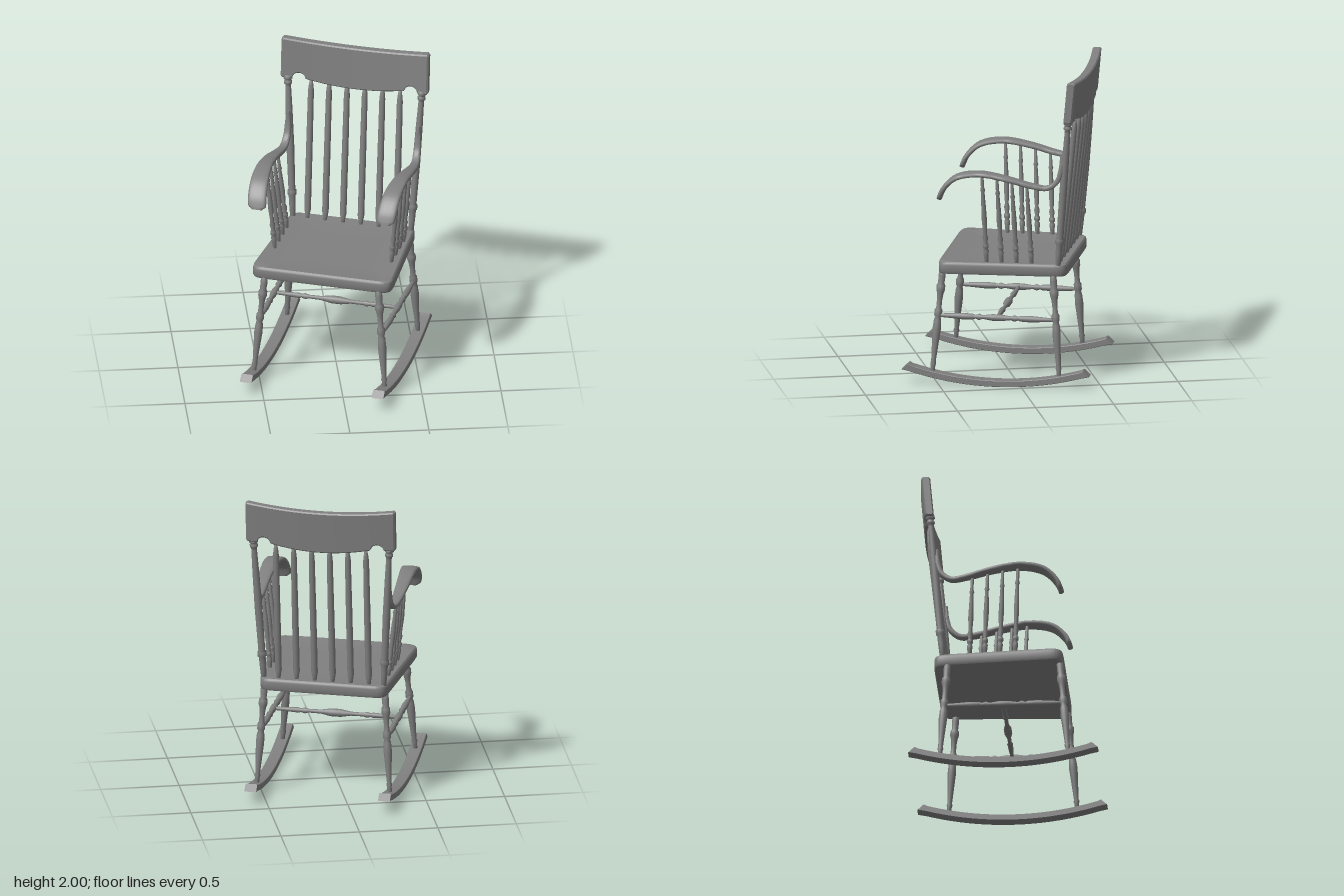
import * as THREE from 'three';
import { toCreasedNormals } from 'three/addons/utils/BufferGeometryUtils.js';

const V = (x, y, z) => new THREE.Vector3(x, y, z);
const wood = new THREE.MeshStandardMaterial({ color: 0x808080 });

function add(parent, name, geometry) {
  const mesh = new THREE.Mesh(geometry, wood);
  mesh.name = name;
  parent.add(mesh);
  return mesh;
}

// Skin over equal-sized rings, counter-clockwise about the direction of travel, with capped ends
function loft(rings, crease = 0.6) {
  const n = rings[0].length, last = (rings.length - 1) * n;
  const centre = ring => ring.reduce((s, p) => s.add(p), V(0, 0, 0)).divideScalar(n);
  const points = [...rings.flat(), centre(rings[0]), centre(rings[rings.length - 1])];
  const index = [];
  for (let i = 0; i < n; i++) {
    const j = (i + 1) % n;
    for (let a = 0; a < last; a += n) index.push(a + i, a + j, a + n + j, a + i, a + n + j, a + n + i);
    index.push(last + n, j, i, last + n + 1, last + i, last + j);
  }
  const g = new THREE.BufferGeometry().setFromPoints(points);
  g.setIndex(index);
  return toCreasedNormals(g, crease);
}

// Bevelled rectangle with half sizes a along u and b along v
function section(c, u, v, a, b, k) {
  return [[a, b - k], [a - k, b], [k - a, b], [-a, b - k], [-a, k - b], [k - a, -b], [a - k, -b], [a, k - b]]
    .map(([p, q]) => c.clone().addScaledVector(u, p).addScaledVector(v, q));
}

// Turned rod from a to b; profile rows are [fraction of length, radius]
function turned(parent, name, a, b, profile, sides = 16) {
  const dir = b.clone().sub(a), len = dir.length();
  const pts = [[0, 0], ...profile, [1, 0]].map(([t, r]) => new THREE.Vector2(r, t * len));
  const mesh = add(parent, name, new THREE.LatheGeometry(pts, sides));
  mesh.position.copy(a);
  mesh.quaternion.setFromUnitVectors(V(0, 1, 0), dir.normalize());
}

const LEG = [[0, .014], [.08, .015], [.1, .019], [.12, .015], [.3, .022], [.42, .027], [.5, .024], [.53, .018],
  [.55, .025], [.6, .025], [.62, .017], [.7, .017], [.76, .022], [.79, .028], [.83, .028], [.85, .02], [.92, .023], [1, .019]];
const POST = [[0, .017], [.1, .021], [.155, .022], [.16, .029], [.19, .029], [.195, .022], [.5, .025], [.75, .022],
  [.92, .018], [.935, .018], [.94, .026], [.955, .026], [.96, .021], [.97, .021], [.975, .029], [1, .029]];
const BACK_SPINDLE = [[0, .011], [.03, .014], [.07, .021], [.5, .021], [.92, .019], [.96, .015], [1, .009]];
const ARM_SPINDLE = [[0, .011], [.1, .016], [.14, .018], [.16, .012], [.18, .019], [.21, .019], [.23, .012], [.29, .018],
  [.33, .012], [.5, .017], [.68, .014], [.8, .011], [.82, .016], [.85, .011], [1, .01]];
const CROSS = [[0, .011], [.1, .013], [.2, .017], [.22, .012], [.25, .019], [.28, .012], [.38, .013], [.46, .025],
  [.54, .025], [.62, .013], [.72, .012], [.75, .019], [.78, .012], [.8, .017], [.9, .013], [1, .011]];
const SIDE_STRETCHER = [[0, .011], [.08, .014], [.22, .021], [.3, .018], [.32, .012], [.35, .021], [.38, .012], [.46, .021],
  [.54, .021], [.62, .012], [.65, .021], [.68, .012], [.7, .018], [.78, .021], [.92, .014], [1, .011]];

// Rounded trapezoid slab, wider in front, with a shallow dished top
function seatGeometry() {
  const rows = [[.985, .718], [1, .73], [1, .775], [.992, .788], [.97, .795], [.85, .79], [.6, .784], [.3, .784], [.05, .784]];
  const pow = c => Math.sign(c) * Math.abs(c) ** 0.13;
  return loft(rows.map(([s, y]) => Array.from({ length: 80 }, (_, i) => {
    const a = (i + .5) / 80 * Math.PI * 2, q = pow(Math.cos(a));
    return V(pow(Math.sin(a)) * (.434 + .027 * q) * s, y, -.034 + .41 * q * s);
  })), 0.7);
}

// Crest rail: bowed backward, dipped on top, notched beside each post
function crestGeometry() {
  const rings = [];
  const N = 96, u = V(0, 1, -.09), v = V(0, 0, 1);
  for (let i = 0; i <= N; i++) {
    const x = -.48 + .96 * i / N, a = Math.abs(x);
    const end = a > .475 ? .008 : 0;
    let low = 1.695 + .035 * (a / .32) ** 2;
    if (a > .32) low = 1.73 + (a < .41 ? .038 * Math.sqrt(Math.sin(Math.PI * (a - .32) / .09)) : 0);
    const high = 1.97 + .03 * (a / .48) ** 2;
    const y = (low + high) / 2;
    const z = -.463 - .09 * (y - 1.73) - .028 * (1 - (x / .48) ** 2);
    rings.push(section(V(x, y, z), u, v, (high - low) / 2 - end, .028 - end, .008));
  }
  return loft(rings, 0.5);
}

// Runner: circular arc resting on the ground, with undercut tips
function runnerGeometry(x) {
  const R = 1.98, t = .02, rings = [];
  for (let i = 0; i <= 32; i++) {
    const a = .3 * (i / 16 - 1), slant = i % 32 ? 1 : 3.5;
    rings.push(section(V(x, t + (R - t) * (1 - Math.cos(a)), (R - t) * Math.sin(a)),
      V(1, 0, 0), V(0, Math.cos(a), -Math.sin(a) * slant), .038, t, .003));
  }
  return loft(rings, 0.4);
}

// Arm: rises along the post, sweeps forward, broadens and droops at the hand
function armGeometry(side) {
  const rows = [[.425, 1.51, -.425, .012], [.424, 1.42, -.415, .02], [.425, 1.345, -.39, .023], [.43, 1.3, -.33, .026],
    [.437, 1.31, -.23, .033], [.442, 1.35, -.07, .042], [.439, 1.375, .11, .05], [.431, 1.345, .255, .057],
    [.424, 1.27, .335, .06], [.419, 1.218, .36, .056], [.418, 1.2, .366, .034]];
  const path = new THREE.CatmullRomCurve3(rows.map(([x, y, z]) => V(x * side, y, z)));
  const width = new THREE.SplineCurve(rows.map((r, i) => new THREE.Vector2(i, r[3])));
  const rings = [];
  for (let i = 0; i <= 50; i++) {
    const t = i / 50, T = path.getTangent(t), u = V(1, 0, 0);
    const v = T.clone().cross(u).normalize(), w = width.getPoint(t).y, c = path.getPoint(t);
    rings.push(Array.from({ length: 16 }, (_, k) => {
      const a = (k + .5) / 8 * Math.PI, p = Math.cos(a), q = Math.sin(a);
      return c.clone().addScaledVector(u, Math.sign(p) * Math.abs(p) ** .6 * w)
        .addScaledVector(v, Math.sign(q) * Math.abs(q) ** .6 * .016);
    }));
  }
  return loft(rings, 0.9);
}

export function createModel() {
  const model = new THREE.Group();
  model.name = 'rockingChair';
  const chair = new THREE.Group();
  chair.name = 'chair';
  chair.rotation.y = -Math.PI / 9;
  model.add(chair);

  add(chair, 'seat', seatGeometry());
  add(chair, 'crestRail', crestGeometry());

  for (const s of [1, -1]) {
    const side = s > 0 ? 'left' : 'right';
    add(chair, side + 'Runner', runnerGeometry(s * .43));
    add(chair, side + 'Arm', armGeometry(s));
    turned(chair, side + 'FrontLeg', V(s * .428, .06, .41), V(s * .37, .74, .352), LEG);
    turned(chair, side + 'BackLeg', V(s * .428, .06, -.403), V(s * .387, .74, -.355), LEG);
    turned(chair, side + 'BackPost', V(s * .385, .78, -.387), V(s * .438, 1.745, -.463), POST);
    turned(chair, side + 'Stretcher', V(s * .4, .435, .378), V(s * .405, .435, -.377), SIDE_STRETCHER);
    // Spindles under the arm
    for (let i = 0; i < 4; i++) {
      const z = .07 - .096 * i;
      const top = 1.372 - .022 * i;
      turned(chair, side + 'ArmSpindle', V(s * .379, .78, z), V(s * .431, top, z + .022), ARM_SPINDLE, 12);
    }
  }

  turned(chair, 'crossStretcher', V(-.4, .435, 0), V(.4, .435, 0), CROSS);

  // Spindles of the back, following the bow of the crest rail
  for (let i = 0; i < 6; i++) {
    const x = (i - 2.5) * .116;
    const bow = .028 * (1 - (x / .48) ** 2);
    turned(chair, 'backSpindle', V(x, .78, -.385), V(x, 1.72, -.463 - bow), BACK_SPINDLE);
  }
  return model;
}
